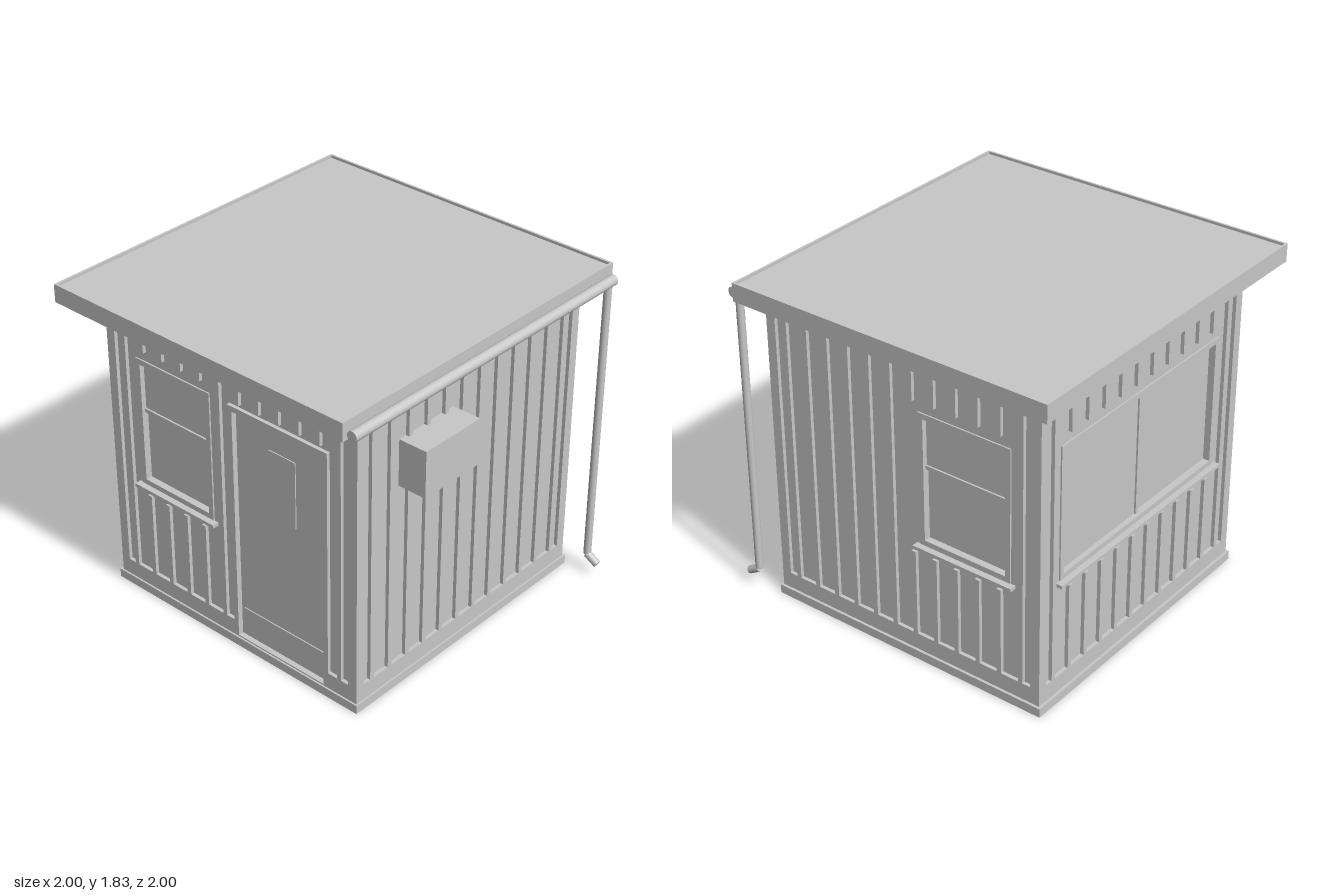
import * as THREE from 'three';

const grey = new THREE.MeshStandardMaterial({ color: 0xc8c8c8 });
grey.name = 'panel grey';

const C = -0.055;      // walls sit off-centre below the roof
const HALF = 0.835;    // half width of the square cabin
const FIELD = 0.78;    // half width of the ribbed field between corner posts
const DEPTH = 0.02;    // how far the field is set back behind the ribs
const Y0 = 0.05, Y1 = 0.143, Y2 = 1.667, Y3 = 1.78;

function add(parent, name, geometry) {
  const m = new THREE.Mesh(geometry, grey);
  m.name = name;
  parent.add(m);
  return m;
}

// box given by its two extreme corners
function block(parent, name, x0, x1, y0, y1, z0, z1) {
  const m = add(parent, name, new THREE.BoxGeometry(x1 - x0, y1 - y0, z1 - z0));
  m.position.set((x0 + x1) / 2, (y0 + y1) / 2, (z0 + z1) / 2);
  return m;
}

function rectPoints(x0, x1, y0, y1) {
  return [[x0, y0], [x1, y0], [x1, y1], [x0, y1]].map(p => new THREE.Vector2(...p));
}

function plate(outer, holes, depth) {
  const s = new THREE.Shape(rectPoints(...outer));
  holes.forEach(h => s.holes.push(new THREE.Path(rectPoints(...h))));
  return new THREE.ExtrudeGeometry(s, { depth, bevelEnabled: false });
}

// thin upright rim around a horizontal rectangle
function rim(parent, name, [x0, x1, z0, z1], y, height, t) {
  const m = add(parent, name,
    plate([x0, x1, -z1, -z0], [[x0 + t, x1 - t, -z1 + t, -z0 - t]], height));
  m.rotation.x = -Math.PI / 2;
  m.position.y = y;
}

function tube(parent, name, a, b, r) {
  const dir = b.clone().sub(a);
  const m = add(parent, name, new THREE.CylinderGeometry(r, r, dir.length(), 24));
  m.position.copy(a).add(b).multiplyScalar(0.5);
  m.quaternion.setFromUnitVectors(new THREE.Vector3(0, 1, 0), dir.normalize());
}

// window in wall coordinates: panes, rail or mullion, thin trim and a projecting sill
function addWindow(wall, [u0, u1], sliding) {
  const y0 = 0.718, y1 = 1.402, f = HALF - DEPTH;
  if (sliding) {
    const mid = (u0 + u1) / 2;
    block(wall, 'outerPane', u0, mid, y0, y1, f - 0.05, f - 0.02);
    block(wall, 'innerPane', mid, u1, y0, y1, f - 0.05, f - 0.03);
    block(wall, 'windowMullion', mid - 0.01, mid + 0.01, y0, y1, f - 0.05, f - 0.01);
  } else {
    block(wall, 'upperPane', u0, u1, 1.13, y1, f - 0.05, f - 0.02);
    block(wall, 'lowerPane', u0, u1, y0, 1.13, f - 0.05, f - 0.03);
    block(wall, 'windowRail', u0, u1, 1.118, 1.138, f - 0.05, f - 0.01);
  }
  const t = 0.03;
  add(wall, 'windowTrim', plate([u0 - t, u1 + t, y0 - t, y1 + t], [[u0, u1, y0, y1]], 0.008))
    .position.z = f;
  block(wall, 'windowSill', u0 - 0.055, u1 + 0.055, 0.665, 0.684, f - 0.02, HALF + 0.018);
}

// one ribbed wall facing local +z
function makeWall(name, angle, { win, sliding, door }) {
  const wall = new THREE.Group();
  wall.name = name;
  wall.position.set(C, 0, C);
  wall.rotation.y = angle;
  const f = HALF - DEPTH, back = f - 0.03;

  // set-back sheet with openings
  const holes = [];
  if (win) holes.push([win[0], win[1], 0.718, 1.402]);
  if (door) holes.push([door[0], door[1], 0.055, 1.405]);
  add(wall, 'wallSheet', plate([-FIELD, FIELD, Y0, Y3], holes, 0.03)).position.z = back;

  // bands along the top and bottom
  block(wall, 'topBand', -FIELD, FIELD, Y2, Y3, f, HALF);
  const spans = door ? [[-FIELD, door[0] - 0.03], [door[1] + 0.03, FIELD]] : [[-FIELD, FIELD]];
  spans.forEach(([a, b]) => block(wall, 'bottomBand', a, b, Y0, Y1, f, HALF));

  // vertical ribs, interrupted by the openings
  for (let i = 0; i < 12; i++) {
    const u = -0.72 + i * 1.44 / 11;
    const rib = (a, b) => block(wall, 'rib', u - 0.0135, u + 0.0135, a, b, f, HALF);
    if (win && u > win[0] - 0.085 && u < win[1] + 0.085) {
      rib(Y1, 0.635);
      rib(1.487, Y2);
    } else if (door && u > door[0] && u < door[1] + 0.03) {
      rib(1.455, Y2);
    } else rib(Y1, Y2);
  }

  if (win) addWindow(wall, win, sliding);

  // door with its surround, threshold, vision panel and kick plate
  if (door) {
    const [a, b] = door, d = f - 0.01;
    block(wall, 'doorJamb', a - 0.03, a, Y0, 1.405, f, HALF);
    block(wall, 'doorJamb', b, b + 0.03, Y0, 1.405, f, HALF);
    block(wall, 'doorHead', a - 0.03, b + 0.03, 1.405, 1.435, f, HALF);
    block(wall, 'threshold', a, b, Y0, 0.058, back, HALF);
    block(wall, 'door', a, b, 0.058, 1.398, back, d);
    block(wall, 'doorPanel', 0.25, 0.42, 0.89, 1.27, d, d + 0.006);
    block(wall, 'kickPlate', a + 0.02, b - 0.02, 0.075, 0.23, d, d + 0.006);
  }
  return wall;
}

export function createModel() {
  const cabin = new THREE.Group();
  cabin.name = 'cabin';

  // floor with a thin skirt, hollow underneath
  rim(cabin, 'baseSkirt', [-0.905, 0.79, -0.905, 0.79], 0, Y0, 0.015);
  block(cabin, 'floor', -0.89, 0.775, 0.035, Y0, -0.89, 0.775);

  // walls and corner posts
  cabin.add(
    makeWall('frontWall', 0, { win: [-0.62, -0.165], door: [0.03, 0.617] }),
    makeWall('gutterSideWall', Math.PI / 2, {}),
    makeWall('backWall', Math.PI, { win: [0.13, 0.62] }),
    makeWall('wideWindowWall', -Math.PI / 2, { win: [-0.63, 0.63], sliding: true })
  );
  for (const sx of [-1, 1]) for (const sz of [-1, 1]) {
    const p = add(cabin, 'cornerPost', new THREE.BoxGeometry(0.055, Y3 - Y0, 0.055));
    p.position.set(C + sx * 0.8075, (Y0 + Y3) / 2, C + sz * 0.8075);
  }

  // flat roof deck inside a thin fascia
  rim(cabin, 'roofFascia', [-1, 0.887, -1, 1], 1.73, 0.1, 0.012);
  block(cabin, 'roofDeck', -0.988, 0.875, 1.775, 1.815, -0.988, 0.988);

  // gutter, downpipe and spout
  const v = (x, y, z) => new THREE.Vector3(x, y, z);
  tube(cabin, 'gutter', v(0.916, 1.757, -0.97), v(0.916, 1.757, 0.97), 0.029);
  tube(cabin, 'downpipe', v(0.918, 0.115, -0.925), v(0.918, 1.757, -0.925), 0.021);
  tube(cabin, 'spout', v(0.918, 0.113, -0.925), v(0.987, 0.073, -0.925), 0.022);

  // wall-mounted cooling unit
  block(cabin, 'coolingUnit', 0.75, 0.925, 1.178, 1.437, 0.072, 0.465);

  return cabin;
}
